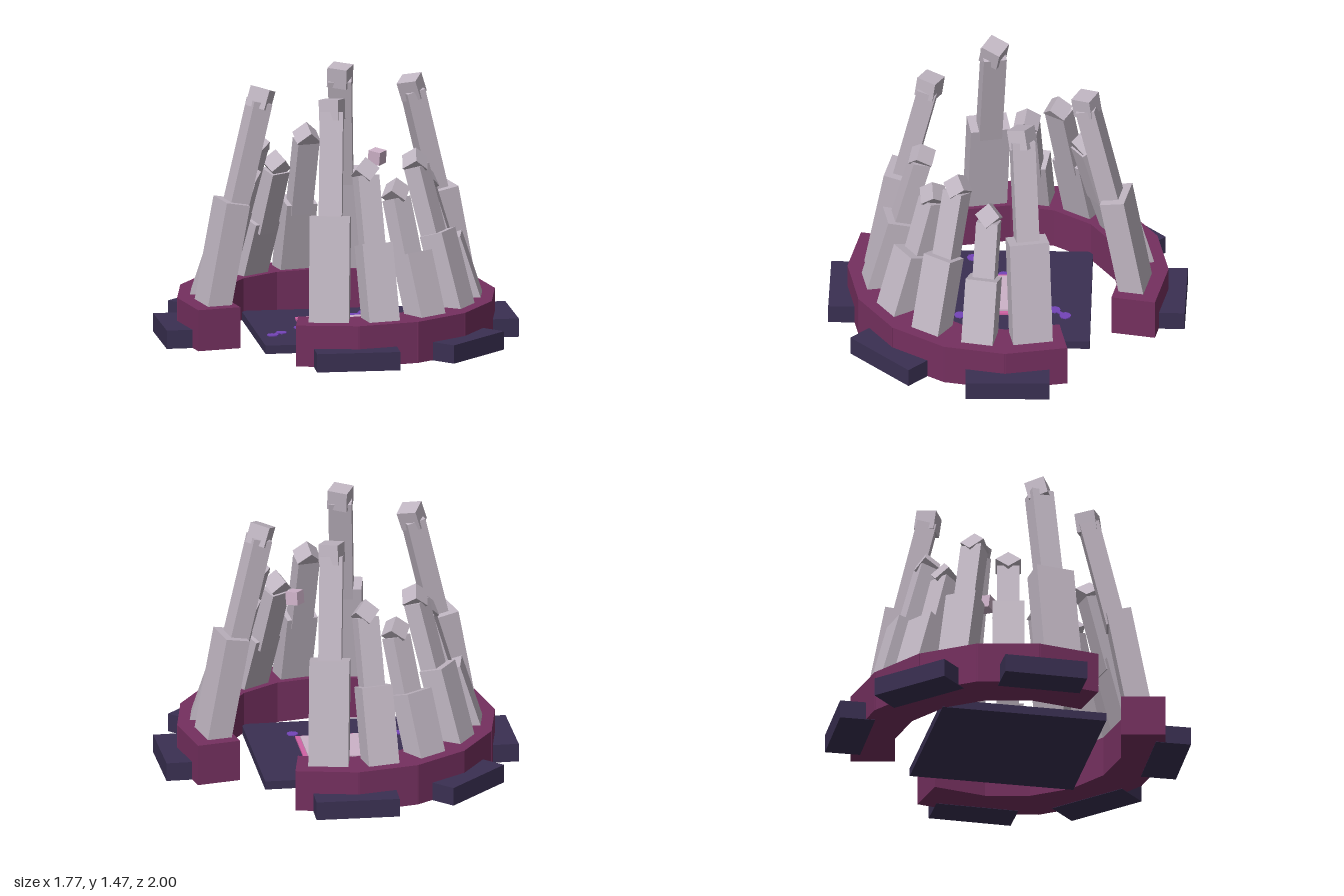
import * as THREE from 'three';

const mat = (name, color) => {
  const m = new THREE.MeshStandardMaterial({ color });
  m.name = name;
  return m;
};

export function createModel() {
  const root = new THREE.Group();
  root.name = 'stoneCircle';
  const stone = mat('paleStone', 0xc0b6c2);
  const plum = mat('plumRing', 0x75305f);
  const dark = mat('darkSlate', 0x3a3052);
  const pink = mat('pinkTrim', 0xd062a4);
  const blush = mat('blushPanel', 0xcdb2c8);
  const violet = mat('violetRune', 0x7444b8);

  const box = (parent, name, m, w, h, d, x, y, z) => {
    const mesh = new THREE.Mesh(new THREE.BoxGeometry(w, h, d), m);
    mesh.name = name;
    mesh.position.set(x, y, z);
    parent.add(mesh);
    return mesh;
  };

  // Box leaning inward, its centre line running from (r0, y0) to (r1, y1)
  const leaning = (parent, name, w, d, r0, y0, r1, y1) => {
    const b = box(parent, name, stone, w, Math.hypot(r0 - r1, y1 - y0), d, 0, (y0 + y1) / 2, (r0 + r1) / 2);
    b.rotation.x = -Math.atan2(r0 - r1, y1 - y0);
  };

  // Pillar sizes: lower box, upper box and cap
  const kinds = {
    big: { lower: [0.225, 0.14, 0.737, 0.2, 0.62, 0.81], upper: [0.13, 0.11, 0.605, 0.75, 0.455, 1.37], cap: [0.115, 0.45, 1.385] },
    tall: { lower: [0.18, 0.14, 0.755, 0.2, 0.63, 0.645], upper: [0.125, 0.1, 0.62, 0.58, 0.5, 1.01], cap: [0.1, 0.49, 1.03] },
    short: { lower: [0.18, 0.14, 0.755, 0.2, 0.635, 0.565], upper: [0.125, 0.1, 0.615, 0.5, 0.505, 0.86], cap: [0.1, 0.5, 0.893] },
  };
  const order = ['big', 'tall', 'short', 'tall', 'short', 'big'];

  // Two facing arcs: ring segments, pillars and outer footing blocks
  for (const turn of [0, Math.PI]) {
    const half = new THREE.Group();
    half.name = turn ? 'backArc' : 'frontArc';
    half.rotation.y = turn;
    root.add(half);

    order.forEach((kind, i) => {
      const angle = THREE.MathUtils.degToRad((i - 2.5) * 22.5);
      const spoke = new THREE.Group();
      spoke.name = kind + 'Pillar';
      spoke.rotation.y = angle;
      half.add(spoke);
      box(spoke, 'ringSegment', plum, 0.36, 0.235, 0.25, 0, 0.1195, 0.758);
      const k = kinds[kind];
      leaning(spoke, 'pillarLower', ...k.lower);
      leaning(spoke, 'pillarUpper', ...k.upper);
      const [s, r, y] = k.cap;
      const cap = box(spoke, 'pillarCap', stone, s, s, s, 0, y, r);
      if (kind === 'big') cap.rotation.set(-0.25, -angle + 0.3, 0.12);
      else cap.rotation.set(-0.55, 0, Math.PI / 4);
    });

    for (const deg of [-46, 0, 46]) {
      const spoke = new THREE.Group();
      spoke.name = 'footing';
      spoke.rotation.y = THREE.MathUtils.degToRad(deg);
      half.add(spoke);
      box(spoke, 'footingBlock', dark, 0.47, 0.105, 0.2, 0, 0.0525, 0.9);
    }
  }

  // Diamond floor with trimmed panel
  const floor = new THREE.Group();
  floor.name = 'floor';
  floor.rotation.y = Math.PI / 4;
  root.add(floor);
  box(floor, 'floorSlab', dark, 0.935, 0.048, 0.935, 0, 0.024, 0);
  box(floor, 'panelTrim', pink, 0.405, 0.012, 0.405, 0, 0.054, 0);
  box(floor, 'panel', blush, 0.355, 0.009, 0.355, 0, 0.0645, 0);

  // Violet runes inlaid in the floor
  const rune = (x, z) => {
    const m = new THREE.Mesh(new THREE.CylinderGeometry(0.033, 0.033, 0.006, 8), violet);
    m.name = 'rune';
    m.position.set(x, 0.051, z);
    root.add(m);
  };
  [[-0.42, -0.13], [-0.34, -0.13], [-0.17, -0.13], [0.21, -0.085], [0.29, -0.085], [0.375, -0.085], [-0.04, 0.335]]
    .forEach(([x, z]) => rune(x, z));
  box(root, 'runeLink', violet, 0.08, 0.006, 0.02, -0.38, 0.051, -0.13);
  box(root, 'runeLink', violet, 0.165, 0.006, 0.02, 0.2925, 0.051, -0.085);

  // Floating cube
  const cube = box(root, 'floatingCube', blush, 0.075, 0.075, 0.075, 0.225, 0.995, 0.12);
  cube.rotation.set(0.12, 0.12, 0.05);

  return root;
}
